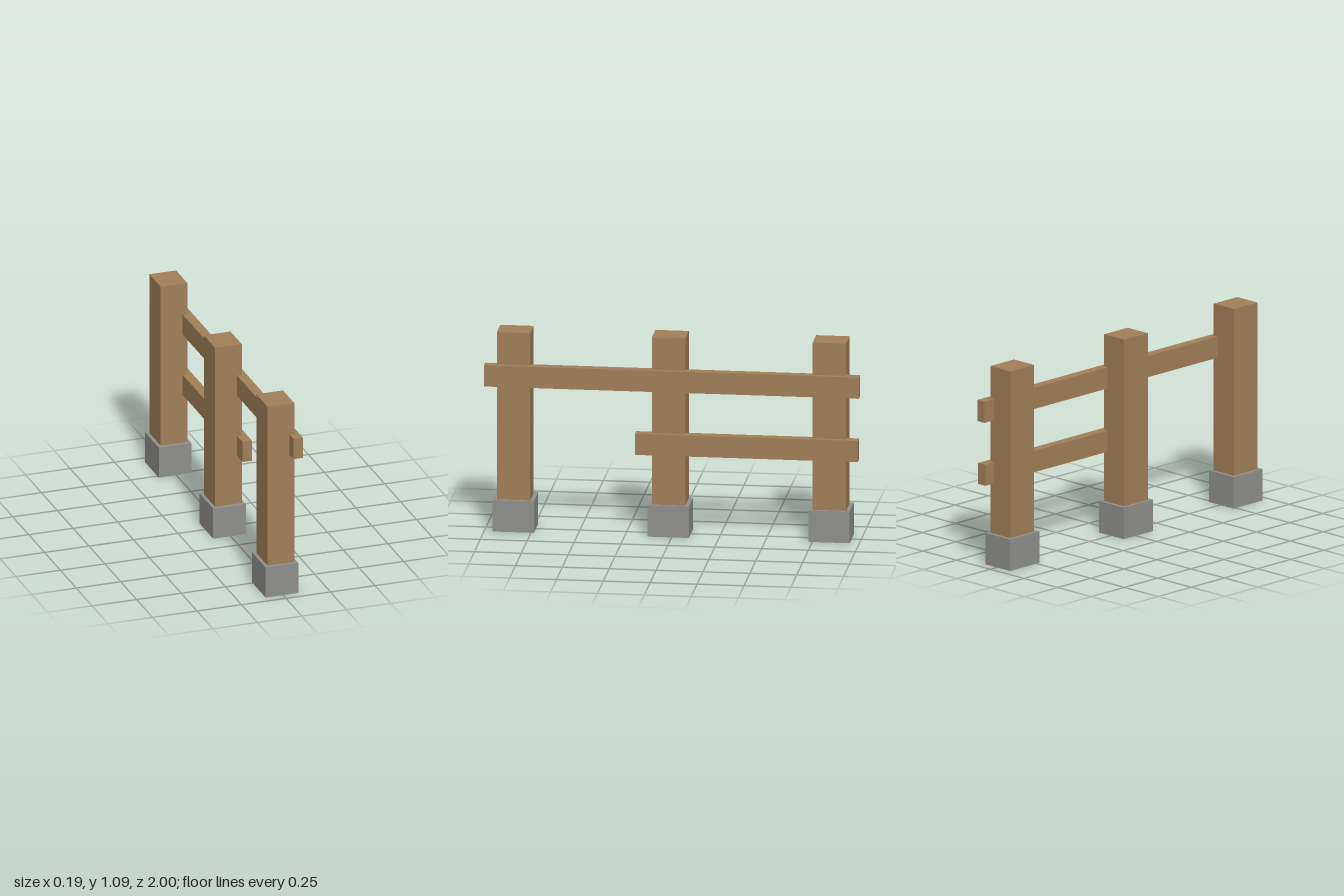
import * as THREE from 'three';

export function createModel() {
  const group = new THREE.Group();
  const wood = new THREE.MeshStandardMaterial({ color: 0xa17f58, flatShading: true });
  const concrete = new THREE.MeshStandardMaterial({ color: 0x8f8f8d, flatShading: true });

  // Box given by its extents along each axis
  function block(name, material, [x0, x1], [y0, y1], [z0, z1]) {
    const mesh = new THREE.Mesh(new THREE.BoxGeometry(x1 - x0, y1 - y0, z1 - z0), material);
    mesh.position.set((x0 + x1) / 2, (y0 + y1) / 2, (z0 + z1) / 2);
    mesh.name = name;
    group.add(mesh);
  }

  // Posts standing on concrete footings
  const posts = { front: 0.845, middle: 0.018, back: -0.839 };
  for (const [place, z] of Object.entries(posts)) {
    block(place + 'Footing', concrete, [-0.098, 0.085], [0, 0.173], [z - 0.11, z + 0.11]);
    block(place + 'Post', wood, [-0.08, 0.07], [0.1, 1.09], [z - 0.089, z + 0.089]);
  }

  // Rails let into the outer side of the posts
  block('upperRail', wood, [0.043, 0.096], [0.797, 0.913], [-1, 1]);
  block('lowerRail', wood, [0.043, 0.096], [0.449, 0.565], [-0.993, 0.195]);

  return group;
}
